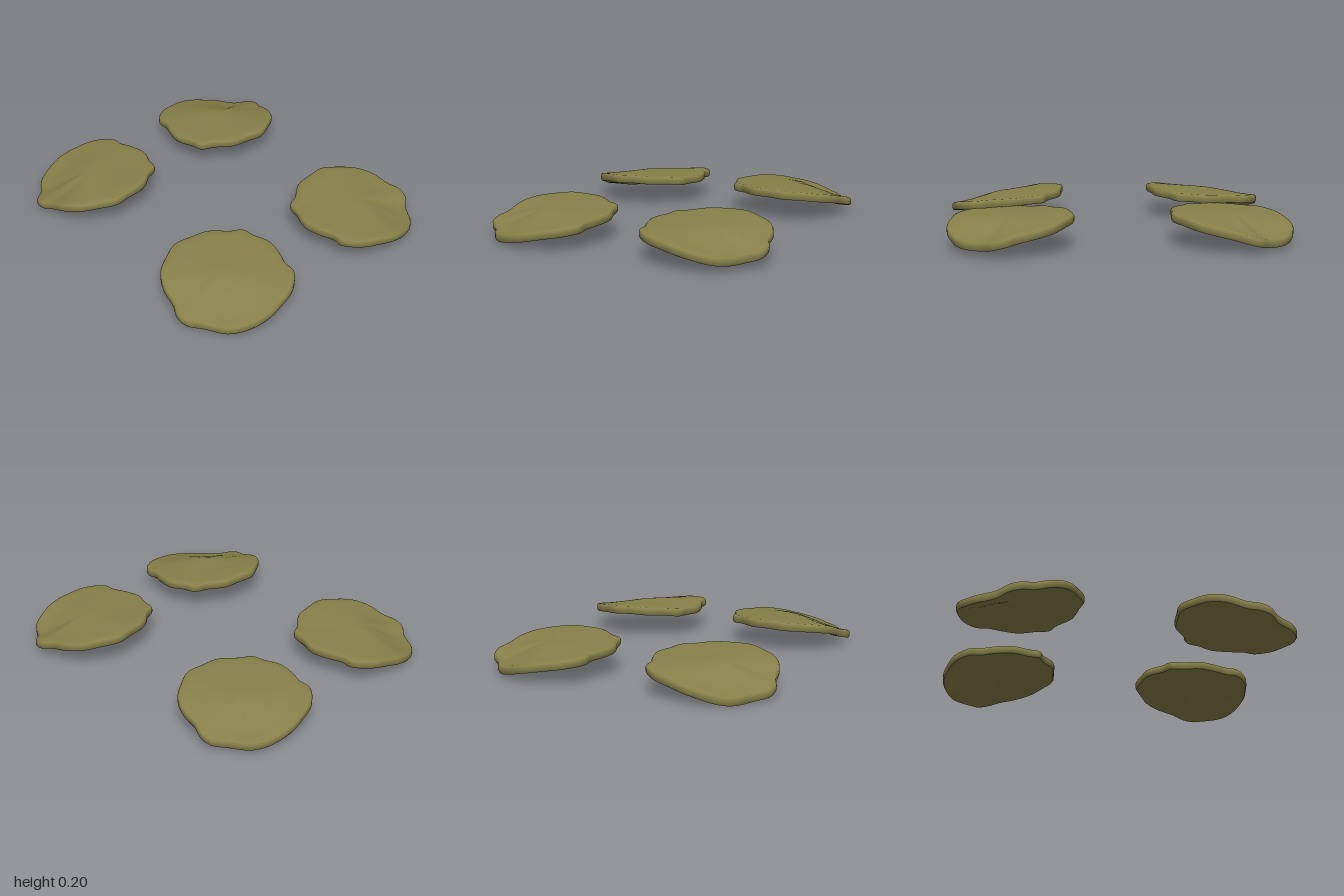
import * as THREE from 'three';
import { toCreasedNormals } from 'three/addons/utils/BufferGeometryUtils.js';

// Wavy pad outline, [outward x, outward z]
const OUTLINE = [
  [.48, 1], [.58, .99], [.715, .925], [.805, .8], [.868, .74], [.88, .675], [.85, .6], [.835, .5],
  [.78, .4], [.675, .325], [.585, .28], [.48, .29], [.36, .31], [.255, .39], [.19, .42], [.17, .5],
  [.135, .6], [.155, .71], [.185, .79], [.187, .86], [.28, .95], [.41, .988],
];
const CENTER = [.51, .635];
const SEGMENTS = 88;
// Cross-section from the top centre over the rim to the bottom centre: [radius, depth]
const PROFILE = [
  [.12, 0], [.25, 0], [.4, 0], [.55, 0], [.7, 0], [.85, 0], [.965, 0], [.985, .003],
  [1, .012], [1, .038], [.98, .05], [.85, .05], [.7, .05], [.55, .05], [.4, .05], [.25, .05], [.12, .05],
];

// Rim heights every 30 degrees, starting on the outer x side and turning to the outer z side
const PADS = [
  { name: 'frontLeftPad', sx: 1, sz: 1, mid: .182,
    rim: [.125, .085, .09, .13, .16, .172, .174, .18, .192, .197, .185, .16] },
  { name: 'frontRightPad', sx: -1, sz: 1, mid: .17,
    rim: [.1, .062, .06, .09, .125, .15, .168, .178, .187, .19, .18, .155] },
  { name: 'backLeftPad', sx: 1, sz: -1, mid: .175,
    rim: [.115, .07, .073, .11, .14, .162, .172, .178, .188, .19, .18, .155] },
  { name: 'backRightPad', sx: -1, sz: -1, mid: .17,
    rim: [.09, .053, .053, .1, .14, .16, .17, .176, .185, .188, .175, .145] },
];

// Smooth periodic interpolation of the rim heights
function rimHeight(rim, angle) {
  const n = rim.length;
  const a = ((angle / (Math.PI * 2)) * n + n) % n;
  const i = Math.floor(a), f = a - i;
  const at = (k) => rim[(i + k + n) % n];
  const [p0, p1, p2, p3] = [at(-1), at(0), at(1), at(2)];
  return p1 + .5 * f * (p2 - p0 + f * (2 * p0 - 5 * p1 + 4 * p2 - p3 + f * (3 * (p1 - p2) + p3 - p0)));
}

function padGeometry({ sx, sz, mid, rim }) {
  const curve = new THREE.CatmullRomCurve3(
    OUTLINE.map(([x, z]) => new THREE.Vector3(x - CENTER[0], 0, z - CENTER[1])), true);
  const edge = curve.getSpacedPoints(SEGMENTS).slice(0, SEGMENTS);
  const pos = [], index = [];
  const push = (x, y, z) => pos.push(sx * (x + CENTER[0]), y, sz * (z + CENTER[1]));

  // Rings along the cross-section
  for (const [r, depth] of PROFILE) {
    const ease = r * r * (3 - 2 * r);
    for (const p of edge) {
      const h = rimHeight(rim, Math.atan2(p.z, p.x));
      push(p.x * r, mid + (h - mid) * ease - depth, p.z * r);
    }
  }
  const top = PROFILE.length * SEGMENTS, bottom = top + 1;
  push(0, mid, 0);
  push(0, mid - .05, 0);

  // Mirrored pads need their corners in the opposite order
  const tri = (a, b, c) => (sx * sz > 0 ? index.push(a, b, c) : index.push(a, c, b));
  const last = (PROFILE.length - 1) * SEGMENTS;
  for (let j = 0; j < SEGMENTS; j++) {
    const k = (j + 1) % SEGMENTS;
    tri(top, j, k);
    tri(bottom, last + k, last + j);
    for (let i = 0; i < last; i += SEGMENTS) {
      tri(i + j, i + SEGMENTS + j, i + k);
      tri(i + k, i + SEGMENTS + j, i + SEGMENTS + k);
    }
  }
  const geo = new THREE.BufferGeometry();
  geo.setAttribute('position', new THREE.Float32BufferAttribute(pos, 3));
  geo.setIndex(index);

  // Check the facing of the first top triangle and turn the surface outward if needed
  const v = [0, 1, 2].map((n) => new THREE.Vector3().fromArray(pos, index[n] * 3));
  if (v[1].sub(v[0]).cross(v[2].sub(v[0])).y < 0) geo.setIndex(index.reverse());
  return toCreasedNormals(geo, .7);
}

export function createModel() {
  const group = new THREE.Group();
  group.name = 'pads';
  const olive = new THREE.MeshStandardMaterial({ color: 0x878049 });
  olive.name = 'olive';
  for (const pad of PADS) {
    const mesh = new THREE.Mesh(padGeometry(pad), olive);
    mesh.name = pad.name;
    group.add(mesh);
  }
  return group;
}
